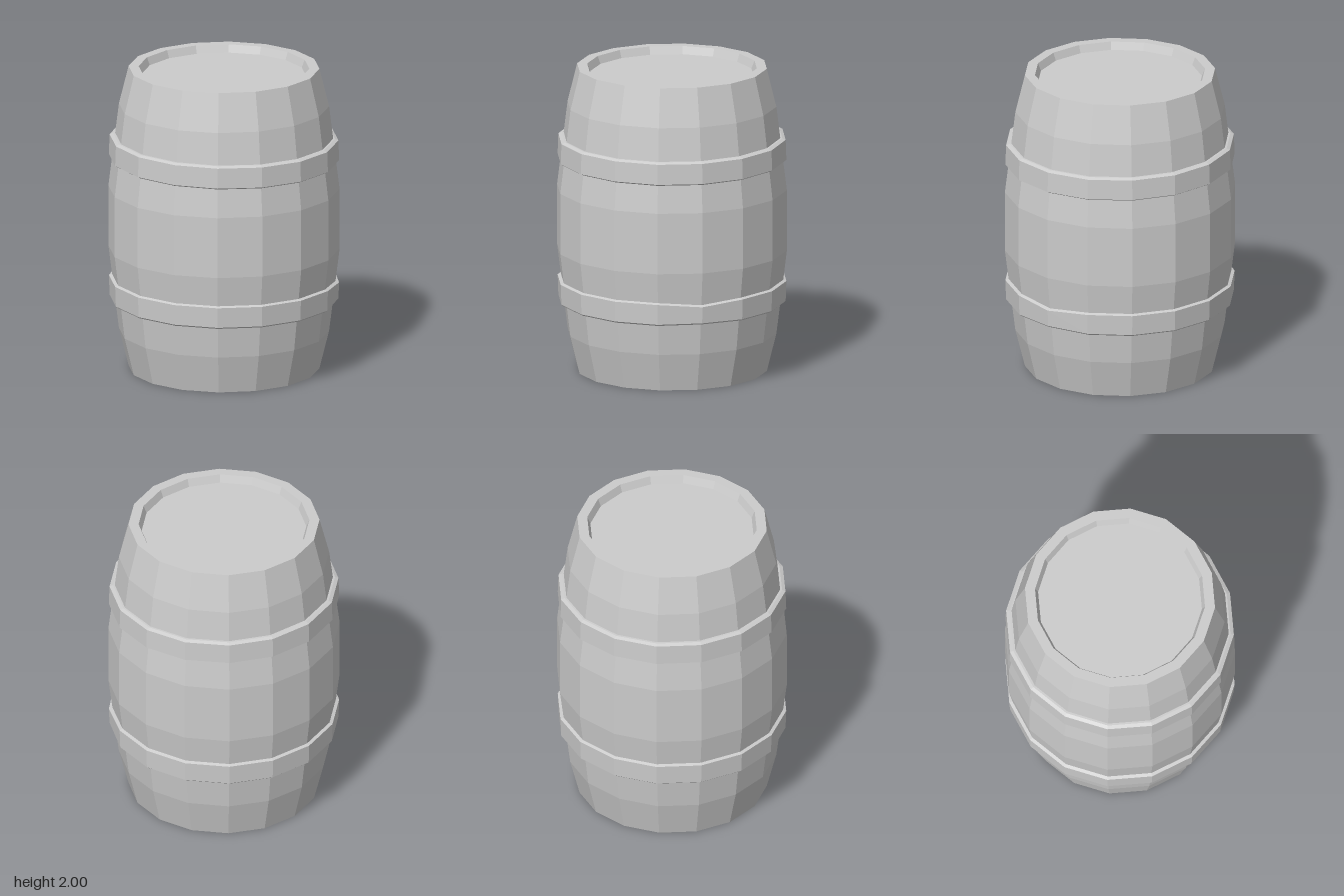
import * as THREE from 'three';

const SIDES = 16;
const material = new THREE.MeshStandardMaterial({ color: 0xcccccc, flatShading: true });

// Faceted solid of revolution from [radius, height] pairs, listed bottom to top
function turned(name, profile) {
  const points = profile.map(([r, y]) => new THREE.Vector2(r, y));
  const mesh = new THREE.Mesh(new THREE.LatheGeometry(points, SIDES), material);
  mesh.name = name;
  return mesh;
}

// Bevelled hoop, slightly tilted along x, with an optional rule for a dent
function hoop(name, y, rBottom, rTop, tilt, dent = () => 0) {
  const mesh = turned(name, [
    [0.69, -0.078], [0.725, -0.076], [rBottom, -0.066],
    [rTop, 0.066], [0.715, 0.076], [0.69, 0.078],
  ]);
  const pos = mesh.geometry.attributes.position;
  for (let i = 0; i < pos.count; i++) {
    const x = pos.getX(i), h = pos.getY(i), z = pos.getZ(i);
    pos.setY(i, h + tilt * x + dent(x, h, z));
  }
  mesh.geometry.computeVertexNormals();
  mesh.position.y = y;
  return mesh;
}

export function createModel() {
  const group = new THREE.Group();
  group.name = 'barrel';

  // Bulging body with a recessed lid at each end
  const half = [[0, 0.05], [0.53, 0.05], [0.55, 0], [0.615, 0], [0.677, 0.25], [0.745, 0.8]];
  const mirrored = half.map(([r, y]) => [r, 2 - y]).reverse();
  group.add(turned('barrelBody', [...half, ...mirrored]));

  // Hoops; the lower one has a small dent on its left side towards the back
  const dent = (x, h, z) => {
    if (x < 0.6 || Math.abs(z + 0.28) > 0.05) return 0;
    return h > 0 ? -0.02 : 0.005;
  };
  group.add(hoop('lowerHoop', 0.533, 0.737, 0.742, -0.005, dent));
  group.add(hoop('upperHoop', 1.467, 0.742, 0.737, -0.014));

  return group;
}
